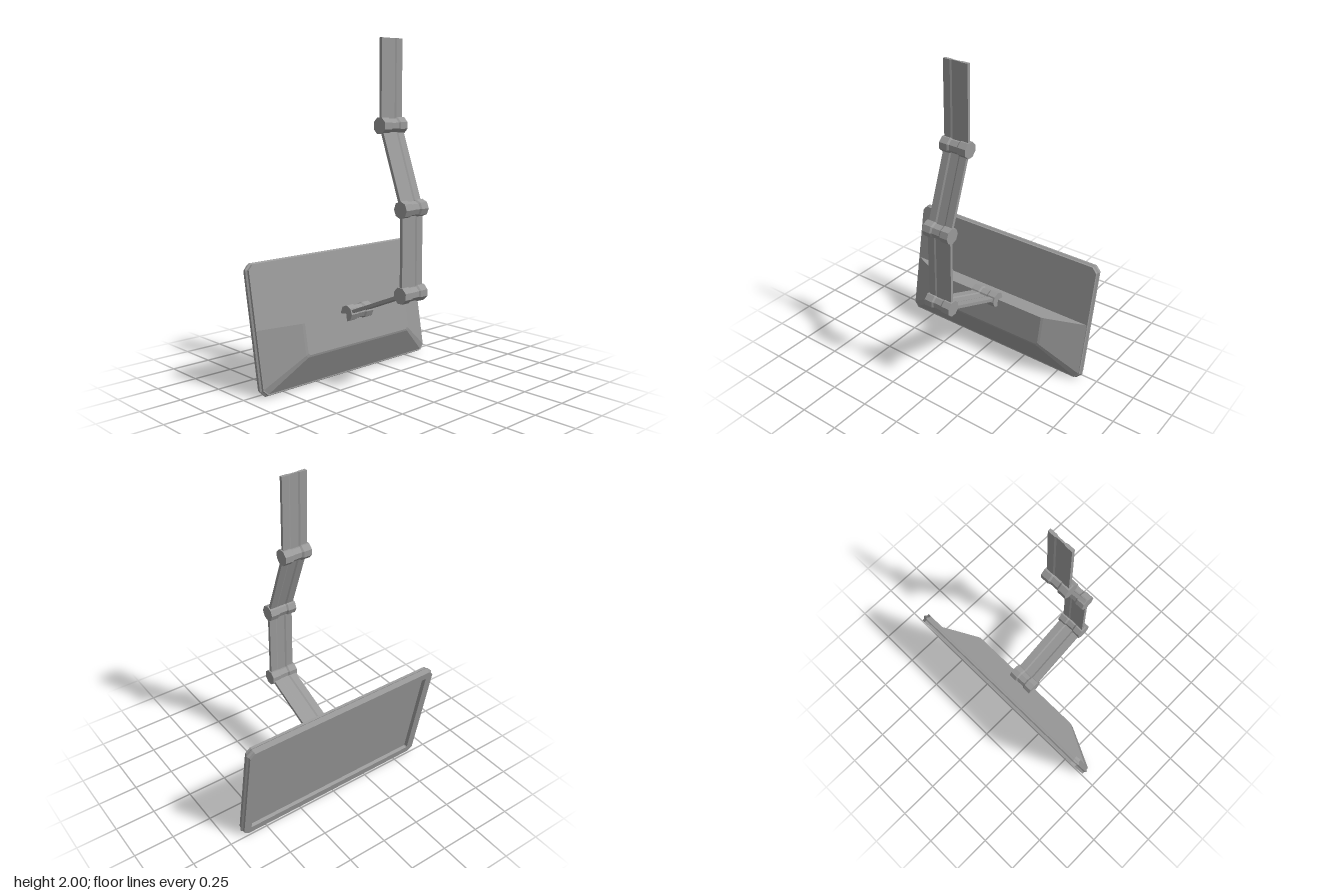
import * as THREE from 'three';

const material = new THREE.MeshStandardMaterial({ color: 0x999999, flatShading: true });

function part(geometry, name) {
  const mesh = new THREE.Mesh(geometry, material);
  mesh.name = name;
  return mesh;
}

// Rectangle with cut corners, counter-clockwise seen from +z
function cutRect(z, hx, y0, y1, cutLow, cutTop) {
  const right = [[hx - cutLow, y0], [hx, y0 + cutLow]];
  right.push(...(cutTop > 0 ? [[hx, y1 - cutTop], [hx - cutTop, y1]] : [[hx, y1]]));
  const left = right.map(([x, y]) => [-x, y]).reverse();
  return [...right, ...left].map(([x, y]) => new THREE.Vector3(x, y, z));
}

// Skin over loops ordered from +z to -z, capped at both ends
function loft(loops) {
  const points = [];
  const n = loops[0].length;
  for (let k = 0; k < loops.length - 1; k++) {
    const a = loops[k], b = loops[k + 1];
    for (let i = 0; i < n; i++) {
      const j = (i + 1) % n;
      points.push(b[i], b[j], a[j], b[i], a[j], a[i]);
    }
  }
  const first = loops[0], last = loops[loops.length - 1];
  for (let i = 1; i < n - 1; i++) {
    points.push(first[0], first[i], first[i + 1], last[0], last[i + 1], last[i]);
  }
  const geometry = new THREE.BufferGeometry().setFromPoints(points);
  geometry.computeVertexNormals();
  return geometry;
}

// Eight-sided hinge barrel lying along x, slightly waisted in the middle
function hinge([y, z], turn) {
  const profile = [
    [0, -0.088], [0.049, -0.088], [0.049, -0.036], [0.042, -0.026],
    [0.042, 0.026], [0.049, 0.036], [0.049, 0.088], [0, 0.088],
  ].map(([r, h]) => new THREE.Vector2(r, h));
  const geometry = new THREE.LatheGeometry(profile, 8, turn);
  geometry.rotateZ(Math.PI / 2);
  const mesh = part(geometry, 'hinge');
  mesh.position.set(0, y, z);
  return mesh;
}

// Flat bar with a shallow channel on both faces, between two (y, z) points
function armBar([y0, z0], [y1, z1]) {
  const half = [[-0.08, 0.0095], [-0.036, 0.0095], [-0.026, 0.005],
    [0.026, 0.005], [0.036, 0.0095], [0.08, 0.0095]];
  const outline = [...half, ...half.map(([x, t]) => [-x, -t])];
  const shape = new THREE.Shape(outline.map(([x, t]) => new THREE.Vector2(x, t)));
  const length = Math.hypot(y1 - y0, z1 - z0);
  const mesh = part(
    new THREE.ExtrudeGeometry(shape, { depth: length, bevelEnabled: false }), 'armBar');
  mesh.position.set(0, y0, z0);
  mesh.rotation.x = -Math.atan2(y1 - y0, z1 - z0);
  return mesh;
}

function createModel() {
  const model = new THREE.Group();
  model.name = 'ceilingMonitor';

  // Jointed arm, from the ceiling end down to the monitor
  const arm = new THREE.Group();
  arm.name = 'arm';
  const path = [[2, 0.154], [1.52, 0.154], [1.066, 0.318], [0.586, 0.318], [0.402, -0.126]];
  const turns = [0, Math.PI / 8, 0, Math.PI / 8, 0];
  for (let i = 1; i < path.length; i++) {
    arm.add(armBar(path[i - 1], path[i]), hinge(path[i], turns[i]));
  }
  model.add(arm);

  // Monitor, tilted with its screen towards -z
  const monitor = new THREE.Group();
  monitor.name = 'monitor';
  monitor.position.set(0, 0.3755, -0.278);
  monitor.rotation.x = -THREE.MathUtils.degToRad(10);

  // Panel with a ridge round the rim and a recessed screen: [z, half width, half height, cut]
  const panel = [
    [0.027, 0.654, 0.372, 0.03],
    [0.012, 0.654, 0.372, 0.03],
    [0.004, 0.663, 0.38, 0.034],
    [-0.004, 0.663, 0.38, 0.034],
    [-0.012, 0.654, 0.372, 0.03],
    [-0.027, 0.654, 0.372, 0.03],
    [-0.027, 0.605, 0.324, 0.004],
    [-0.01, 0.595, 0.314, 0.004],
  ];
  monitor.add(part(loft(panel.map(([z, hx, hy, c]) => cutRect(z, hx, -hy, hy, c, c))), 'panel'));

  // Tapered housing on the lower half, flat on top
  const housing = [
    cutRect(0.152, 0.403, -0.186, 0, 0.012, 0),
    cutRect(0.147, 0.417, -0.198, 0, 0.014, 0),
    cutRect(0.026, 0.653, -0.367, 0, 0.03, 0),
  ];
  monitor.add(part(loft(housing), 'rearHousing'));
  model.add(monitor);

  return model;
}

export { createModel };
